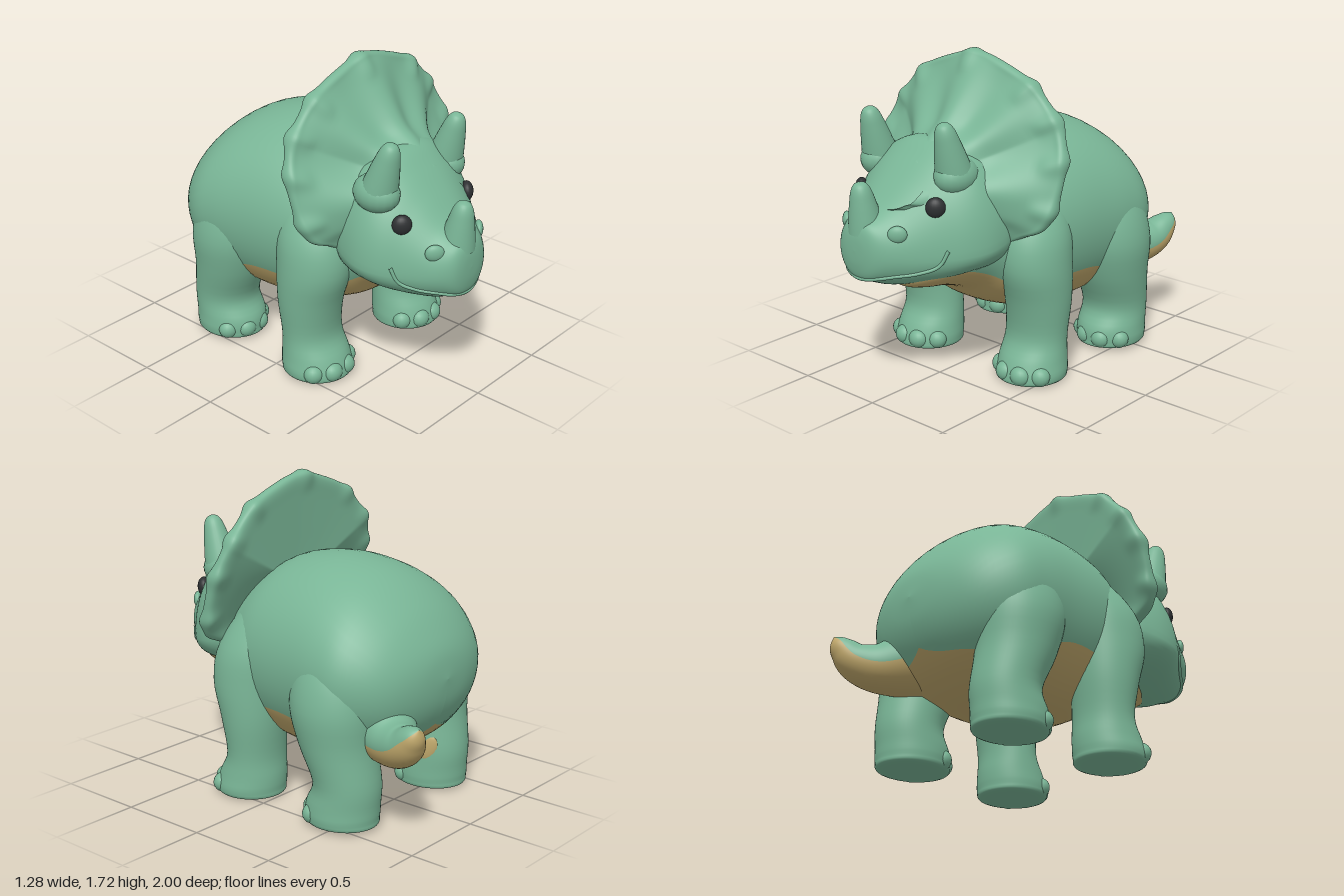
import * as THREE from 'three';

const V = (x, y, z) => new THREE.Vector3(x, y, z);
const mat = (name, color) => Object.assign(new THREE.MeshStandardMaterial({ color }), { name });
const N = 56, K = 20; // columns around a skin, of which the first K are underside

// Resample a table of section values along a smooth curve, column by column
const spline = rows => {
  const cols = rows[0].map((_, c) => new THREE.SplineCurve(rows.map((r, k) => new THREE.Vector2(k, r[c]))));
  return t => cols.map(s => s.getPoint(t).y);
};
const steps = (n, f) => Array.from({ length: n + 1 }, (_, i) => f(i / n));

// Angles measured from the bottom; the first K columns span the half angle h
const angle = (j, h) => j < K ? -h + 2 * h * j / K : h + (2 * Math.PI - 2 * h) * (j - K) / (N - K);
const ring = (h, f) => Array.from({ length: N }, (_, j) => f(angle(j, h)));
// Sine with fuller shoulders, for boxier cross-sections
const fullSin = a => Math.sign(Math.sin(a)) * Math.abs(Math.sin(a)) ** 0.85;

// Join closed rings into one smooth surface; split gives the underside its own group
function skin(rings, split = 0) {
  const n = rings[0].length, pts = rings.flat(), parts = [[], []];
  for (let i = 0; i < rings.length - 1; i++) for (let j = 0; j < n; j++) {
    const a = i * n + j, b = i * n + (j + 1) % n, c = a + n, d = b + n;
    parts[j < split ? 1 : 0].push(a, c, d, a, d, b);
  }
  const idx = parts.flat();
  let volume = 0;
  for (let i = 0; i < idx.length; i += 3)
    volume += pts[idx[i]].dot(pts[idx[i + 1]].clone().cross(pts[idx[i + 2]]));
  if (volume < 0) for (let i = 0; i < idx.length; i += 3) [idx[i], idx[i + 1]] = [idx[i + 1], idx[i]];
  const g = new THREE.BufferGeometry().setFromPoints(pts);
  g.setIndex(idx);
  if (split) {
    g.addGroup(0, parts[0].length, 0);
    g.addGroup(parts[0].length, parts[1].length, 1);
  }
  g.computeVertexNormals();
  return g;
}

export function createModel() {
  const model = new THREE.Group();
  const green = mat('skinGreen', 0x79b596), tan = mat('bellyTan', 0xbfa76b), dark = mat('eyeDark', 0x2e3032);
  const add = (parent, name, geo, material) => {
    const m = new THREE.Mesh(geo, material);
    m.name = name;
    parent.add(m);
    return m;
  };
  const ball = new THREE.SphereGeometry(1, 20, 14);

  // Body and throat: z, bottom, top, half width, belly half angle
  const body = spline([
    [0.84, 0.68, 0.7, 0, 70], [0.79, 0.6, 0.85, 0.13, 70], [0.7, 0.572, 0.95, 0.23, 66], [0.58, 0.555, 1.02, 0.3, 62],
    [0.43, 0.5, 1.1, 0.36, 54], [0.3, 0.4, 1.18, 0.43, 52], [0.15, 0.33, 1.275, 0.5, 56],
    [0, 0.29, 1.32, 0.535, 61], [-0.2, 0.275, 1.335, 0.56, 61], [-0.4, 0.3, 1.3, 0.58, 50],
    [-0.55, 0.34, 1.23, 0.57, 38], [-0.68, 0.41, 1.125, 0.49, 27], [-0.77, 0.51, 1.01, 0.37, 0],
    [-0.825, 0.63, 0.9, 0.2, 0], [-0.845, 0.77, 0.77, 0, 0]]);
  add(model, 'body', skin(steps(70, t => {
    const [z, lo, hi, rx, h] = body(t);
    return ring(Math.max(0, h) * Math.PI / 180, a => V(0.01 + rx * (Math.cos(a) > 0 ? fullSin(a) : Math.sin(a)),
      (lo + hi) / 2 - (hi - lo) / 2 * Math.cos(a), z));
  }), K), [green, tan]);

  // Tail, swung to the left: path and radius
  const tail = spline([[0.2, 0.58, -0.52, 0.2], [0.29, 0.53, -0.66, 0.168], [0.355, 0.505, -0.78, 0.13],
    [0.405, 0.53, -0.875, 0.104], [0.434, 0.585, -0.935, 0.075], [0.445, 0.625, -0.97, 0.045], [0.448, 0.65, -0.99, 0]]);
  add(model, 'tail', skin(steps(30, t => {
    const [x, y, z, r] = tail(t), p = tail(Math.max(0, t - 0.02)), q = tail(Math.min(1, t + 0.02));
    const dir = V(q[0] - p[0], q[1] - p[1], q[2] - p[2]).normalize();
    const side = dir.clone().cross(V(0, 1, 0)).normalize(), up = side.clone().cross(dir);
    return ring(1.45, a => V(x, y, z).addScaledVector(side, r * Math.sin(a)).addScaledVector(up, -r * Math.cos(a)));
  }), K), [green, tan]);

  // Legs: y, centre x, centre z, half width, half depth
  const front = [[0.01, 0.385, 0.19, 0, 0], [0.012, 0.385, 0.19, 0.165, 0.17], [0.05, 0.388, 0.19, 0.192, 0.19],
    [0.13, 0.385, 0.175, 0.185, 0.18], [0.25, 0.385, 0.15, 0.175, 0.15], [0.45, 0.4, 0.155, 0.18, 0.175],
    [0.65, 0.395, 0.18, 0.19, 0.21], [0.85, 0.36, 0.16, 0.19, 0.21], [1.05, 0.27, 0.1, 0.14, 0.16], [1.15, 0.2, 0.06, 0, 0]];
  const hind = [[0.02, 0.41, -0.48, 0, 0], [0.022, 0.41, -0.48, 0.16, 0.18], [0.06, 0.412, -0.48, 0.185, 0.2],
    [0.13, 0.41, -0.485, 0.185, 0.2], [0.25, 0.41, -0.51, 0.18, 0.18], [0.45, 0.42, -0.455, 0.2, 0.21],
    [0.65, 0.42, -0.43, 0.22, 0.24], [0.85, 0.375, -0.42, 0.21, 0.22], [1.0, 0.29, -0.41, 0.17, 0.17], [1.1, 0.2, -0.4, 0, 0]];
  for (const [name, rows, shift] of [['front', front, 0.015], ['hind', hind, 0.05]]) for (const side of [1, -1]) {
    const leg = new THREE.Group(), section = spline(rows);
    leg.name = name + (side > 0 ? 'LeftLeg' : 'RightLeg');
    model.add(leg);
    const place = x => side > 0 ? x : shift - x;
    add(leg, 'limb', skin(steps(36, t => {
      const [y, cx, cz, rx, rz] = section(t);
      return ring(1, a => V(place(cx + rx * Math.sin(a)), y, cz + rz * Math.cos(a)));
    })), green);
    const [y, cx, cz, rx, rz] = rows[2];
    for (const a of [-1, -0.35, 0.3, 0.95]) {
      const toe = add(leg, 'toe', ball, green);
      toe.position.set(place(cx + rx * 0.83 * Math.sin(a)), y + 0.015, cz + rz * 0.83 * Math.cos(a));
      toe.scale.set(0.058, 0.055, 0.053);
    }
  }
  // Pale patch inside the right hind leg
  const patch = add(model, 'innerLegPatch', ball, tan);
  patch.position.set(-0.203, 0.26, -0.575);
  patch.rotation.set(0, 2.0, -0.35, 'YXZ');
  patch.scale.set(0.045, 0.075, 0.014);

  // Frill: half outline mirrored, then rings from the face over the knobbed rim to the neck
  const half = [[0.2, 1.675], [0.38, 1.595], [0.52, 1.46], [0.6, 1.33], [0.63, 1.18], [0.62, 1.02], [0.575, 0.9], [0.46, 0.84], [0.3, 0.76]];
  const outline = new THREE.CatmullRomCurve3([[0, 1.72], ...half, [0, 0.7], ...half.map(([x, y]) => [-x, y]).reverse()]
    .map(([x, y]) => V(x, y, 0)), true);
  const rimZ = y => 0.18 + 0.29 * Math.max(0, 1.4 - y);
  const knobs = [-0.06, 0.65, 1.01, 1.35, 1.75, -0.69, -1.04, -1.35, -1.75];
  const frillRows = spline([[0.2, 0.48], [0.36, 0.35], [0.46, 0.255], [0.6, 0.18], [0.8, 0.095], [0.93, 0.045], [0.985, 0.025],
    [1, 0], [0.985, -0.025], [0.93, -0.035], [0.8, -0.03], [0.55, -0.02], [0.3, -0.01], [0, 0]]);
  add(model, 'frill', skin(steps(58, t => {
    const [s, dz] = frillRows(t);
    return steps(215, k => outline.getPoint(k * 215 / 216)).map(p => {
      const a = Math.atan2(p.x, p.y - 1.1);
      const ridge = t < 0.42 ? 0.02 * Math.sin(t / 0.42 * Math.PI) * Math.cos(8 * a) : 0;
      const knob = knobs.reduce((sum, k) => sum + Math.exp(-(((a - k) / 0.08) ** 2)), 0) * Math.max(0, (s - 0.82) / 0.18);
      const r = s * (1 + 0.024 * knob);
      return V(p.x * r, 1.1 + (p.y - 1.1) * r, rimZ(p.y) + dz * (1 + 0.6 * knob) + ridge);
    });
  })), green);

  // Head, swung slightly to its right: z, height of widest point, rise, drop, half width
  const head = new THREE.Group();
  head.name = 'head';
  model.add(head);
  const section = spline([[0.2, 0.9, 0.3, 0.25, 0.3], [0.35, 0.85, 0.44, 0.24, 0.4], [0.45, 0.82, 0.5, 0.205, 0.43],
    [0.55, 0.8, 0.515, 0.18, 0.43], [0.65, 0.79, 0.445, 0.18, 0.395], [0.75, 0.78, 0.355, 0.178, 0.32],
    [0.85, 0.78, 0.25, 0.17, 0.245], [0.92, 0.79, 0.19, 0.155, 0.19], [0.97, 0.8, 0.15, 0.14, 0.13],
    [0.99, 0.81, 0.08, 0.08, 0.07], [0.995, 0.81, 0, 0, 0]]);
  const swing = z => -0.15 * (z - 0.3);
  const point = ([z, yc, up, down, rx], a) => V(swing(z) + rx * fullSin(a), yc - (Math.cos(a) > 0 ? down : up) * Math.cos(a), z);
  add(head, 'skull', skin(steps(60, t => ring(1.2, a => point(section(t), a)))), green);

  // Find a point on the skull from z and the angle from its bottom
  const onHead = (z, a) => {
    let lo = 0, hi = 1;
    for (let i = 0; i < 24; i++) {
      const mid = (lo + hi) / 2;
      if (section(mid)[0] < z) lo = mid; else hi = mid;
    }
    return point(section(lo), a);
  };

  // Horns with rounded tips
  const horn = (name, len, r) => add(head, name, new THREE.LatheGeometry(new THREE.SplineCurve(
    [[1.12, -0.12], [1.04, 0.06], [0.93, 0.28], [0.78, 0.55], [0.61, 0.8], [0.37, 0.95], [0, 1]]
      .map(([x, y]) => new THREE.Vector2(x * r, y * len))).getPoints(24), 28), green);
  const nose = horn('noseHorn', 0.23, 0.085);
  nose.position.set(-0.11, 0.93, 0.905);
  nose.rotation.x = 0.15;

  for (const side of [1, -1]) {
    const x = -0.07 + side * 0.265;
    const brow = horn('browHorn', 0.24, 0.085);
    brow.position.set(x, 1.225, 0.59);
    brow.rotation.set(0.28, 0, 0);
    const mound = add(head, 'browMound', ball, green);
    mound.position.set(x, 1.165, 0.56);
    mound.scale.set(0.105, 0.1, 0.13);

    // Eyes look forward and outward, sunk into the skull
    const eye = add(head, 'eye', ball, dark);
    eye.position.copy(onHead(0.722, side * 2.3));
    eye.rotation.y = side * 0.75;
    eye.scale.set(0.051, 0.054, 0.035);

    const nostril = add(head, 'nostril', ball, green);
    nostril.position.copy(onHead(0.885, side * 2.2));
    nostril.rotation.y = side * 0.7;
    nostril.scale.set(0.05, 0.045, 0.024);
  }

  // Smiling lip
  const lip = [[0.715, 1.68], [0.75, 1.36], [0.82, 1.13], [0.9, 0.92], [0.95, 0.6]];
  const smile = [...lip, [0.968, 0], ...lip.map(([z, a]) => [z, -a]).reverse()].map(([z, a]) => onHead(z, a));
  add(head, 'lip', new THREE.TubeGeometry(new THREE.CatmullRomCurve3(smile), 80, 0.01, 8), green);

  return model;
}
